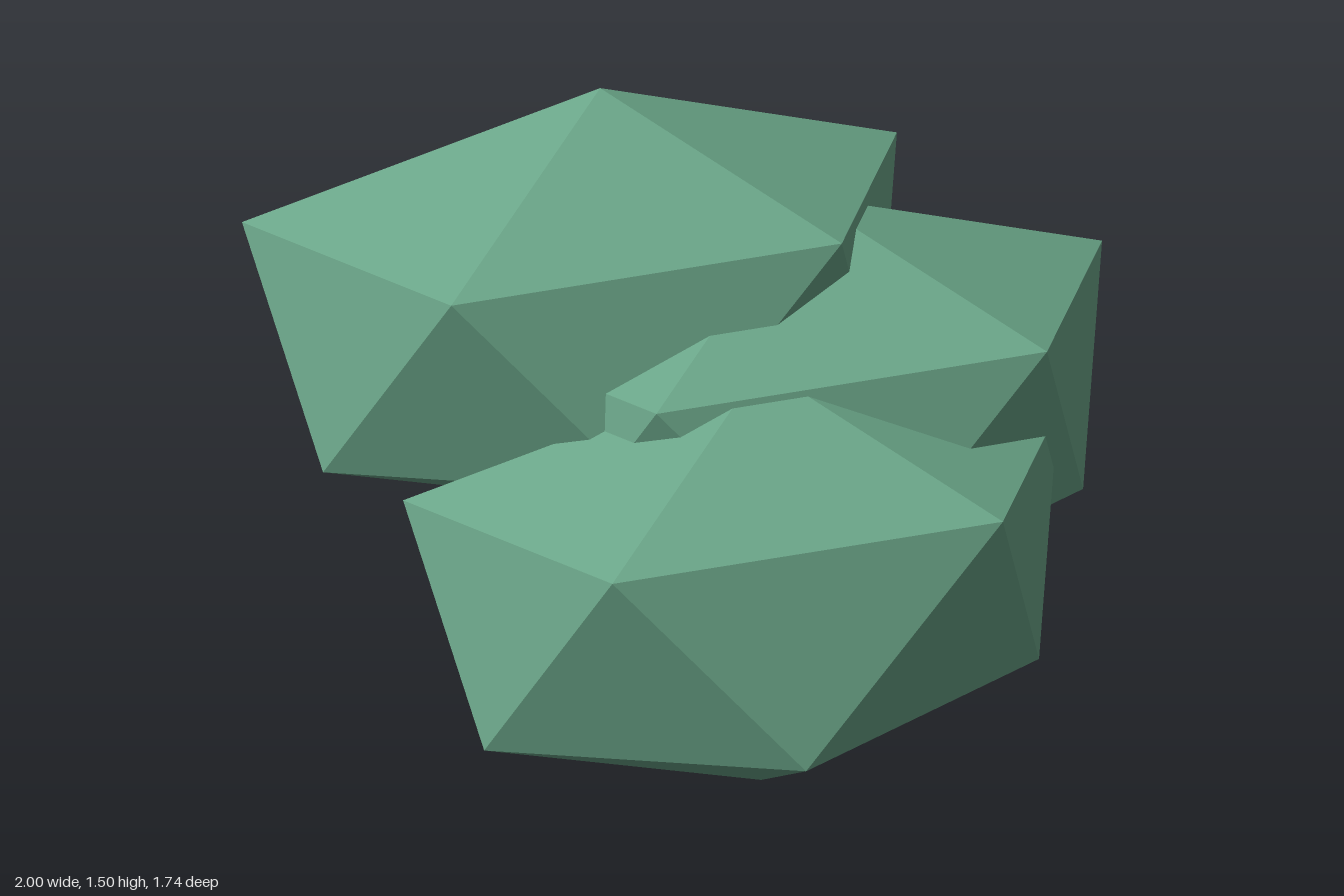
import * as THREE from 'three';

// Irregular flattened icosahedron: two poles and two rings of five, around its own centre
function boulderGeometry() {
  const top = [0, 0.5, 0], bottom = [0, -0.5, 0];
  const upper = [
    [0.85, 0.215, 0], [0.265, 0.225, 0.565], [-0.665, 0.2, 0.315],
    [-0.75, 0.232, -0.365], [0.265, 0.225, -0.565],
  ];
  const lower = [
    [0.58, -0.25, 0.285], [-0.265, -0.28, 0.52], [-0.79, -0.265, -0.005],
    [-0.26, -0.265, -0.505], [0.72, -0.298, -0.355],
  ];
  const positions = [];
  const face = (a, b, c) => positions.push(...a, ...b, ...c);
  for (let i = 0; i < 5; i++) {
    const j = (i + 1) % 5;
    face(top, upper[j], upper[i]);
    face(upper[i], upper[j], lower[i]);
    face(upper[j], lower[j], lower[i]);
    face(bottom, lower[i], lower[j]);
  }
  const geometry = new THREE.BufferGeometry();
  geometry.setAttribute('position', new THREE.Float32BufferAttribute(positions, 3));
  geometry.computeVertexNormals();
  return geometry;
}

export function createModel() {
  const group = new THREE.Group();
  group.name = 'foliageClump';
  const green = new THREE.MeshStandardMaterial({ color: 0x6aa588, flatShading: true });
  green.name = 'sage green';

  // Three identical clumps stepping up towards the back
  const geometry = boulderGeometry();
  const clumps = [
    ['lowerFrontClump', -0.21, 0.5, 0.305],
    ['middleClump', 0.147, 0.752, 0],
    ['upperBackClump', -0.21, 1.004, -0.305],
  ];
  for (const [name, x, y, z] of clumps) {
    const clump = new THREE.Mesh(geometry, green);
    clump.name = name;
    clump.position.set(x, y, z);
    group.add(clump);
  }
  return group;
}
